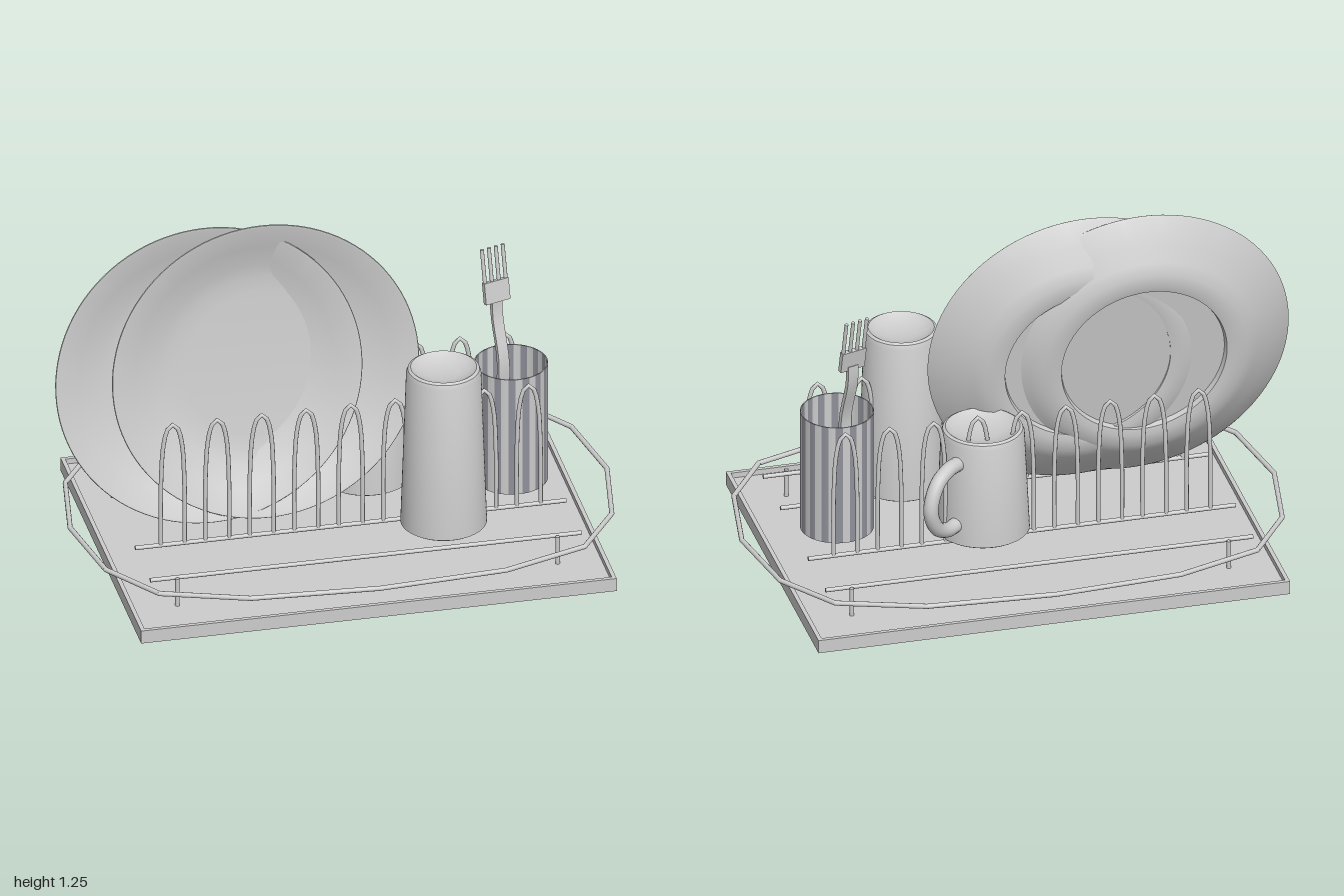
import * as THREE from 'three';
import { toCreasedNormals } from 'three/addons/utils/BufferGeometryUtils.js';

export function createModel() {
  const model = new THREE.Group();
  model.name = 'dishRack';
  const grey = new THREE.MeshStandardMaterial({ color: 0xcccccc });
  grey.name = 'light grey';
  const dark = new THREE.MeshStandardMaterial({ color: 0x90909a });
  dark.name = 'stripe grey';

  const add = (name, geo, x = 0, y = 0, z = 0, parent = model, mat = grey) => {
    const m = new THREE.Mesh(geo, mat);
    m.name = name;
    m.position.set(x, y, z);
    parent.add(m);
    return m;
  };
  const box = (name, w, h, d, x, y, z, parent) => add(name, new THREE.BoxGeometry(w, h, d), x, y, z, parent);
  const lathe = (pts, seg = 64) =>
    toCreasedNormals(new THREE.LatheGeometry(pts.map(p => new THREE.Vector2(...p)), seg), 0.55);
  const V = (x, y, z) => new THREE.Vector3(x, y, z);

  // Straight wire between two points
  const rod = (name, a, b, r, parent = model) => {
    const dir = b.clone().sub(a);
    const m = add(name, new THREE.CylinderGeometry(r, r, dir.length(), 10), 0, 0, 0, parent);
    m.position.copy(a).add(b).multiplyScalar(0.5);
    m.quaternion.setFromUnitVectors(V(0, 1, 0), dir.normalize());
    return m;
  };

  // Drip tray with a low lip
  const cx = 0.025;
  box('trayFloor', 1.71, 0.03, 1.28, cx, 0.015, 0);
  for (const s of [-1, 1]) {
    box('trayLip', 1.71, 0.05, 0.015, cx, 0.025, s * 0.6325);
    box('trayLip', 0.015, 0.05, 1.25, cx + s * 0.8475, 0.025, 0);
  }

  // Outer rail: a flat loop of sixteen straight wires
  const quarter = [[0.965, 0], [0.91, 0.32], [0.765, 0.53], [0.46, 0.635], [0, 0.665]];
  const loop = [
    ...quarter,
    ...quarter.slice(0, 4).reverse().map(([x, z]) => [-x, z]),
    ...quarter.slice(1).map(([x, z]) => [-x, -z]),
    ...quarter.slice(1, 4).reverse().map(([x, z]) => [x, -z]),
  ].map(([x, z]) => V(cx + x, 0.13, z));
  const rail = new THREE.Group();
  rail.name = 'outerRail';
  model.add(rail);
  loop.forEach((p, i) => {
    rod('railWire', p, loop[(i + 1) % loop.length], 0.009, rail);
    add('railJoint', new THREE.SphereGeometry(0.009, 10, 8), p.x, p.y, p.z, rail);
  });

  // Base bars, feet and plate arches
  for (const z of [-0.43, -0.192, 0.192, 0.43]) rod('baseBar', V(-0.75, 0.13, z), V(0.8, 0.13, z), 0.008);
  for (const x of [-0.657, 0.71]) for (const z of [-0.452, 0.452]) rod('foot', V(x, 0.03, z), V(x, 0.137, z), 0.008);
  const archPath = new THREE.CatmullRomCurve3([
    V(-0.043, 0.13, 0), V(-0.042, 0.38, 0), V(-0.033, 0.53, 0), V(-0.017, 0.593, 0), V(0, 0.608, 0),
    V(0.017, 0.593, 0), V(0.033, 0.53, 0), V(0.042, 0.38, 0), V(0.043, 0.13, 0),
  ]);
  const archGeo = new THREE.TubeGeometry(archPath, 36, 0.008, 8);
  for (const z of [-0.192, 0.192])
    for (let i = 0; i < 9; i++) add('plateArch', archGeo, -0.615 + i * 0.16, 0, z);

  // Two leaning plates
  const plateGeo = lathe([
    [0, -0.095], [0.295, -0.095], [0.3, -0.115], [0.325, -0.12], [0.37, -0.116], [0.41, -0.095],
    [0.47, -0.055], [0.545, -0.01], [0.552, -0.003], [0.55, 0], [0.54, -0.002], [0.46, -0.036],
    [0.38, -0.068], [0.33, -0.08], [0.27, -0.085], [0, -0.085],
  ], 96);
  plateGeo.rotateX(Math.PI / 2);
  add('rearPlate', plateGeo, -0.45, 0.703, 0.04).rotation.x = -0.152;
  add('frontPlate', plateGeo, -0.25, 0.703, 0.058).rotation.x = -0.131;

  // Upturned vessels with hollow undersides and dished bases
  const vessel = (rb, rt, h) => lathe([
    [0, h - 0.06], [rt - 0.022, h - 0.06], [rb - 0.018, 0.004], [rb - 0.009, 0], [rb, 0.006],
    [rt, h - 0.022], [rt - 0.006, h - 0.006], [rt - 0.016, h],
    [rt - 0.022, h - 0.004], [rt - 0.04, h - 0.016], [rt * 0.4, h - 0.026], [0, h - 0.028],
  ]);
  add('tumbler', vessel(0.152, 0.132, 0.62), 0.345, 0.137, 0.255);

  const mug = new THREE.Group();
  mug.name = 'mug';
  mug.position.set(0.152, 0.137, -0.135);
  mug.rotation.y = 0.67;
  model.add(mug);
  add('mugBody', vessel(0.165, 0.147, 0.405), 0, 0, 0, mug);
  const handlePath = new THREE.CatmullRomCurve3([
    V(0.135, 0.315, 0), V(0.2, 0.315, 0), V(0.265, 0.285, 0), V(0.303, 0.2, 0),
    V(0.27, 0.115, 0), V(0.21, 0.08, 0), V(0.14, 0.078, 0),
  ]);
  add('mugHandle', new THREE.TubeGeometry(handlePath, 40, 0.027, 14), 0, 0, 0, mug);

  // Cutlery cup: open thin wall of alternating vertical panels
  const cup = new THREE.Group();
  cup.name = 'cutleryCup';
  cup.position.set(0.645, 0.14, 0);
  model.add(cup);
  for (let i = 0; i < 32; i++) {
    const a = (i - 0.5) * Math.PI / 16, b = a + Math.PI / 16;
    const shape = new THREE.Shape();
    shape.absarc(0, 0, 0.13, a, b, false);
    shape.absarc(0, 0, 0.126, b, a, true);
    const geo = new THREE.ExtrudeGeometry(shape, { depth: 0.46, bevelEnabled: false, curveSegments: 2 });
    geo.rotateX(-Math.PI / 2);
    add(i % 2 ? 'cupStripe' : 'cupPanel', geo, 0, 0, 0, cup, i % 2 ? dark : grey);
  }
  add('cupFloor', new THREE.CylinderGeometry(0.127, 0.127, 0.008, 32), 0, 0.004, 0, cup);

  // Fork: curved stem of varying width, head and four tines
  const fork = new THREE.Group();
  fork.name = 'fork';
  fork.position.set(0.625, 0, -0.04);
  fork.rotation.y = 0.3;
  model.add(fork);
  const stem = new THREE.BoxGeometry(1, 1, 0.016, 1, 16, 1);
  const p = stem.attributes.position;
  for (let i = 0; i < p.count; i++) {
    const t = p.getY(i) + 0.5;
    const width = t < 0.7 ? 0.055 - 0.02 * t : 0.041;
    p.setXYZ(i, p.getX(i) * width, 0.15 + t * 0.67, p.getZ(i) + 0.045 - 0.085 * t + 0.012 * Math.sin(t * 12));
  }
  stem.computeVertexNormals();
  add('forkStem', stem, 0, 0, 0, fork);
  const head = new THREE.Group();
  head.name = 'forkHead';
  head.position.set(0, 0.805, -0.04);
  head.rotation.x = -0.17;
  fork.add(head);
  box('forkPalm', 0.098, 0.08, 0.018, 0, 0.04, 0, head);
  for (let i = 0; i < 4; i++) {
    const x = (i - 1.5) * 0.028;
    rod('forkTine', V(x, 0.07, 0), V(x, 0.205, 0), 0.007, head);
  }

  return model;
}
